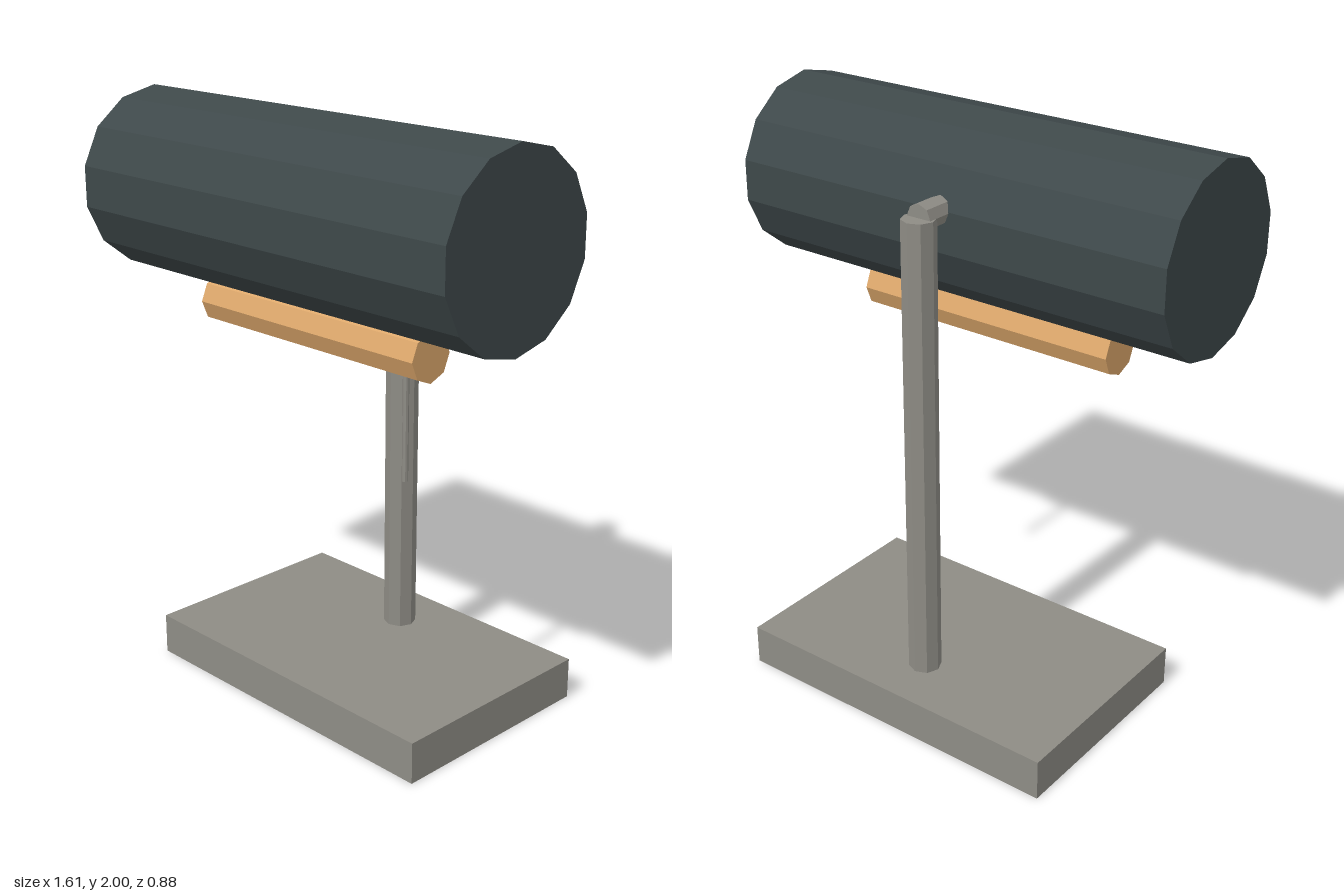
import * as THREE from 'three';

const paint = (color) => new THREE.MeshStandardMaterial({ color, flatShading: true });

export function createModel() {
  const model = new THREE.Group();
  const stone = paint(0x8e8c85);
  const dark = paint(0x3e484a);
  const brass = paint(0xdca76b);

  const add = (name, geometry, material, x, y, z) => {
    const mesh = new THREE.Mesh(geometry, material);
    mesh.name = name;
    mesh.position.set(x, y, z);
    model.add(mesh);
  };
  const rod = (radius, length, sides) => new THREE.CylinderGeometry(radius, radius, length, sides);
  // Faceted rod along x, with one ridge pointing straight up
  const rodX = (radius, length, sides) =>
    rod(radius, length, sides).rotateY(Math.PI / 2).rotateZ(Math.PI / 2);

  // Stand: slab base, upright pole and the short arm reaching into the shade
  add('base', new THREE.BoxGeometry(1.224, 0.143, 0.776), stone, 0, 0.0715, -0.055);
  add('pole', rod(0.056, 1.637, 8), stone, 0, 0.9385, -0.247);
  add('arm', rod(0.045, 0.27, 8).rotateX(Math.PI / 2), stone, 0, 1.757, -0.112);

  // Wide horizontal shade with the bulb tube beneath it
  const lampZ = 0.14;
  add('shade', rodX(0.308, 1.612, 14), dark, 0, 1.692, lampZ);
  add('bulbTube', rodX(0.082, 0.97, 8), brass, 0, 1.318, lampZ);

  // Pull cord hanging from the tube
  add('pullCord', rod(0.0095, 0.4, 8), stone, 0.385, 1.095, lampZ);

  return model;
}
